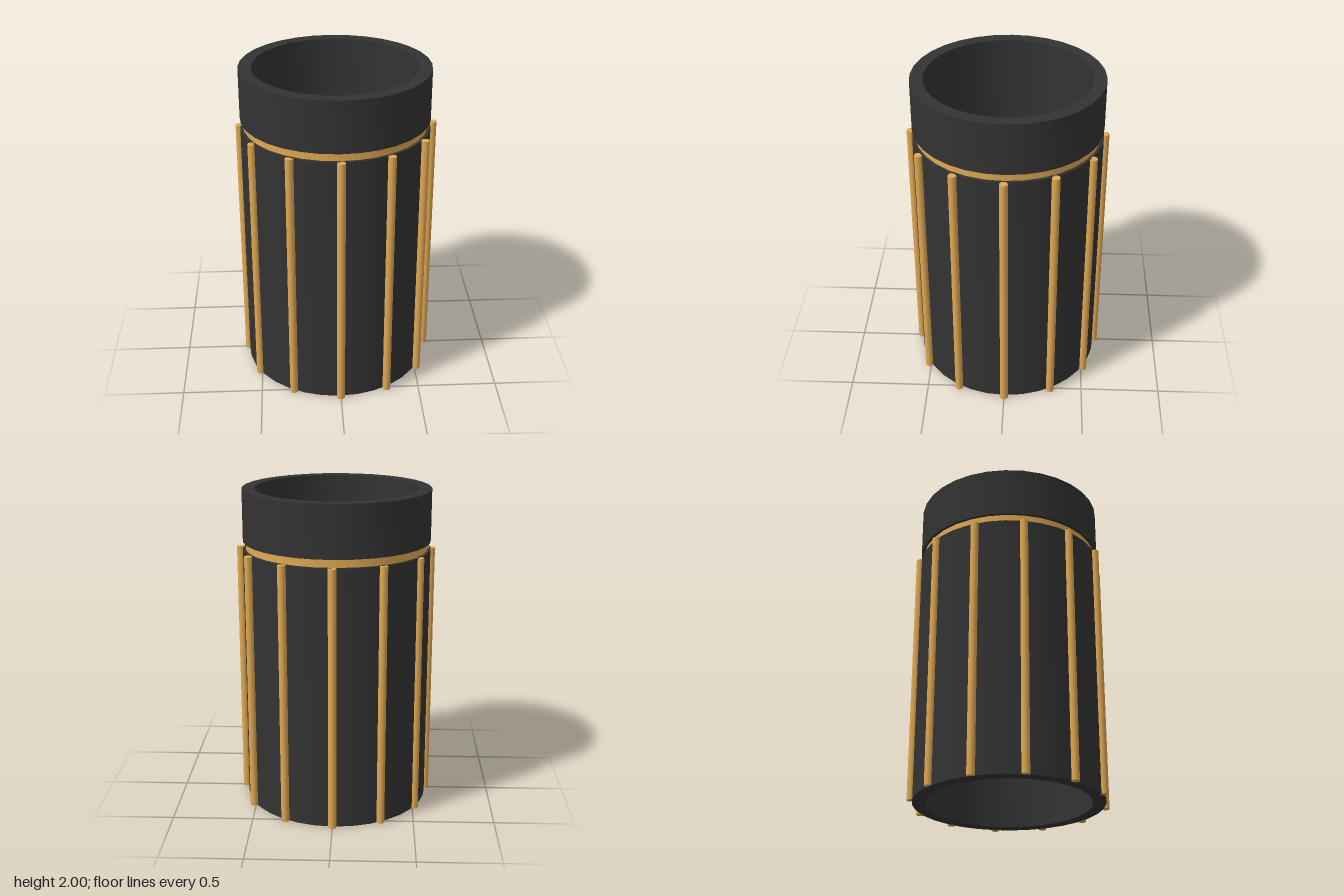
import * as THREE from 'three';
import { toCreasedNormals } from 'three/addons/utils/BufferGeometryUtils.js';

const dark = new THREE.MeshStandardMaterial({ color: 0x333333 });
const gold = new THREE.MeshStandardMaterial({ color: 0xe0a852 });

const INNER = 0.503, OUTER = 0.582, BAND = 0.564, CORE = 0.54;
const BODY_TOP = 1.63, CAP_BOTTOM = 1.68, TOP = 2;

// Revolves a closed profile of [radius, y] points, keeping its corners sharp
function ring(name, profile, material) {
  const points = [...profile, profile[0]].map(([r, y]) => new THREE.Vector2(r, y));
  const geometry = toCreasedNormals(new THREE.LatheGeometry(points, 32), 0.5);
  const mesh = new THREE.Mesh(geometry, material);
  mesh.name = name;
  return mesh;
}

export function createModel() {
  const model = new THREE.Group();
  model.name = 'ribbedTube';

  // Hollow tube: ribbed body, recessed neck and plain collar
  const tube = new THREE.Group();
  tube.name = 'tube';
  tube.position.set(-0.007, 0, -0.003);
  tube.add(ring('bodyAndCollar', [
    [INNER, 0], [OUTER, 0], [OUTER, BODY_TOP], [CORE, BODY_TOP],
    [CORE, CAP_BOTTOM], [OUTER, CAP_BOTTOM], [OUTER, TOP], [INNER, TOP],
  ], dark));

  // Coloured band filling the neck
  tube.add(ring('neckBand', [
    [CORE, BODY_TOP], [BAND, BODY_TOP], [BAND, CAP_BOTTOM], [CORE, CAP_BOTTOM],
  ], gold));
  model.add(tube);

  // Twelve round rods standing around the body
  const rods = new THREE.Group();
  rods.name = 'rods';
  const rodGeometry = new THREE.CylinderGeometry(0.025, 0.025, BODY_TOP, 16);
  for (let i = 0; i < 12; i++) {
    const angle = (i / 12) * Math.PI * 2;
    const rod = new THREE.Mesh(rodGeometry, gold);
    rod.name = 'rod';
    rod.position.set(Math.cos(angle) * 0.591, BODY_TOP / 2, Math.sin(angle) * 0.591);
    rods.add(rod);
  }
  model.add(rods);
  return model;
}
